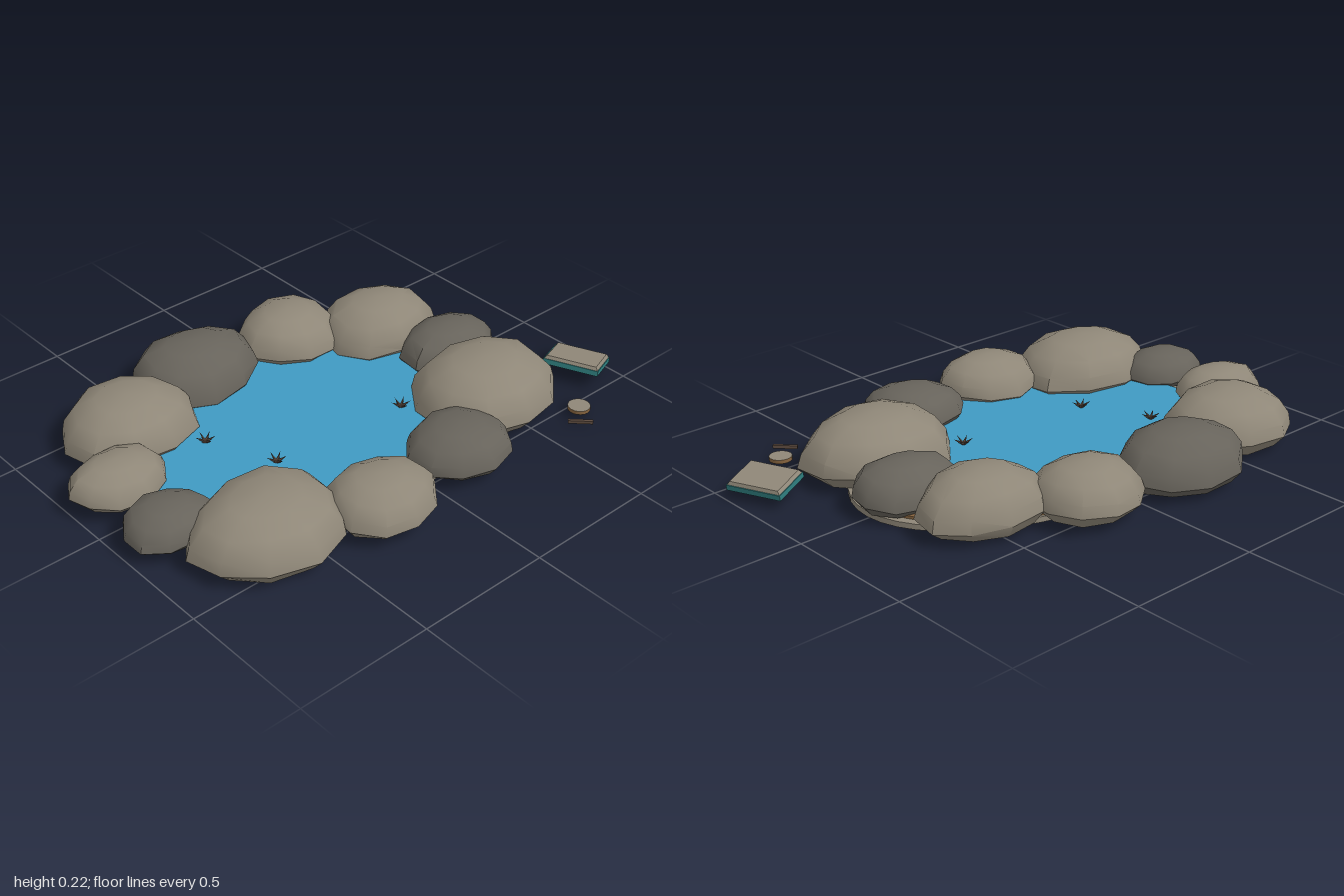
import * as THREE from 'three';
import { toCreasedNormals } from 'three/addons/utils/BufferGeometryUtils.js';

const mat = (name, color) => {
  const m = new THREE.MeshStandardMaterial({ color });
  m.name = name;
  return m;
};

export function createModel() {
  const group = new THREE.Group();
  const lightStone = mat('lightStone', 0x8f8778);
  const darkStone = mat('darkStone', 0x67635b);
  const water = mat('water', 0x3f9ac2);
  const earth = mat('earth', 0x86643f);
  const teal = mat('teal', 0x2f7f80);
  const darkWood = mat('darkWood', 0x5c4a3e);

  const add = (name, geo, material, x = 0, y = 0, z = 0, parent = group) => {
    const m = new THREE.Mesh(geo, material);
    m.name = name;
    m.position.set(x, y, z);
    parent.add(m);
    return m;
  };

  // Oval pond: stone slab with an earth underside, earth bed, water
  const disc = (name, rx, rz, y0, y1, material) => {
    const geo = new THREE.CylinderGeometry(1, 1, y1 - y0, 48);
    geo.scale(rx, 1, rz);
    return add(name, geo, material, -0.045, (y0 + y1) / 2, 0.01);
  };
  disc('slab', 0.775, 0.48, 0, 0.02, [lightStone, lightStone, earth]);
  disc('bed', 0.74, 0.475, 0.02, 0.03, earth);
  disc('water', 0.7, 0.465, 0.03, 0.05, water);

  // Boulder: flat-bottomed dome with a slightly irregular outline
  const profile = [[0, 0], [0.84, 0], [1, 0.22], [0.95, 0.47], [0.78, 0.75], [0.45, 0.94], [0, 1]]
    .map(([r, y]) => new THREE.Vector2(r, y));
  const boulder = (rx, rz, base, top, seed) => {
    const geo = new THREE.LatheGeometry(profile, 10, seed);
    const p = geo.attributes.position;
    for (let i = 0; i < p.count; i++) {
      const x = p.getX(i), y = p.getY(i), z = p.getZ(i);
      const a = Math.atan2(z, x), r = Math.hypot(x, z);
      const k = 1.015 + 0.035 * Math.sin(3 * a + seed * 2.3 + y * 2);
      const lift = 0.05 * r * Math.sin(2 * a + seed * 1.7) * (y > 0.1 && y < 0.9 ? 1 : 0);
      p.setXYZ(i, x * k * rx, base + (y + lift) * (top - base), z * k * rz);
    }
    return toCreasedNormals(geo, 0.75);
  };

  // Ring of boulders: x, z, half width, half depth, base, top, colour
  [
    [-0.23, -0.49, 0.24, 0.2, 0.02, 0.205, darkStone],
    [0.18, -0.455, 0.2, 0.185, 0.03, 0.19, lightStone],
    [0.48, -0.28, 0.235, 0.185, 0.02, 0.2, lightStone],
    [0.58, -0.005, 0.195, 0.155, 0.025, 0.17, darkStone],
    [0.47, 0.29, 0.28, 0.24, 0.015, 0.215, lightStone],
    [0.165, 0.47, 0.195, 0.17, 0.035, 0.17, darkStone],
    [-0.235, 0.51, 0.195, 0.175, 0.03, 0.18, lightStone],
    [-0.605, 0.375, 0.28, 0.23, 0.015, 0.205, lightStone],
    [-0.825, 0.145, 0.162, 0.135, 0.035, 0.15, darkStone],
    [-0.82, -0.14, 0.178, 0.14, 0.035, 0.16, lightStone],
    [-0.61, -0.375, 0.25, 0.215, 0.02, 0.2, lightStone],
  ].forEach(([x, z, rx, rz, base, top, m], i) =>
    add('boulder' + (i + 1), boulder(rx, rz, base, top, i * 1.3 + 0.4), m, x, 0, z));

  // Small six-armed water plants with upturned arms
  [[-0.455, -0.14], [-0.345, 0.11], [0.195, 0.15]].forEach(([x, z], n) => {
    const plant = new THREE.Group();
    plant.name = 'waterPlant' + (n + 1);
    plant.position.set(x, 0.052, z);
    group.add(plant);
    const arm = new THREE.ConeGeometry(0.007, 0.04, 5);
    arm.translate(0, 0.02, 0);
    arm.rotateZ(-1.05);
    for (let i = 0; i < 6; i++) {
      add('arm', arm, darkWood, 0, 0, 0, plant).rotation.y = (i * Math.PI) / 3 + 0.5;
    }
  });

  // Tilted tablet: teal backing with a bevelled stone top
  const tablet = new THREE.Group();
  tablet.name = 'tablet';
  tablet.position.set(0.885, 0.06, 0.365);
  tablet.rotation.set(0, 0.405, -0.16, 'YXZ');
  group.add(tablet);
  add('tabletBack', new THREE.BoxGeometry(0.152, 0.02, 0.21), teal, 0, -0.005, 0, tablet);
  const face = new THREE.CylinderGeometry(Math.SQRT1_2 * 0.92, Math.SQRT1_2, 0.012, 4);
  face.rotateY(Math.PI / 4);
  face.scale(0.146, 1, 0.204);
  add('tabletFace', toCreasedNormals(face, 0.3), lightStone, 0, 0.011, 0, tablet);

  // Stepping disc and small stick beside the pond
  add('steppingDisc', new THREE.CylinderGeometry(0.041, 0.041, 0.014, 20),
    [earth, lightStone, earth], 0.7, 0.024, 0.545);
  add('stick', new THREE.BoxGeometry(0.088, 0.012, 0.012), darkWood, 0.635, 0.024, 0.61)
    .rotation.y = -Math.PI / 4;

  return group;
}
